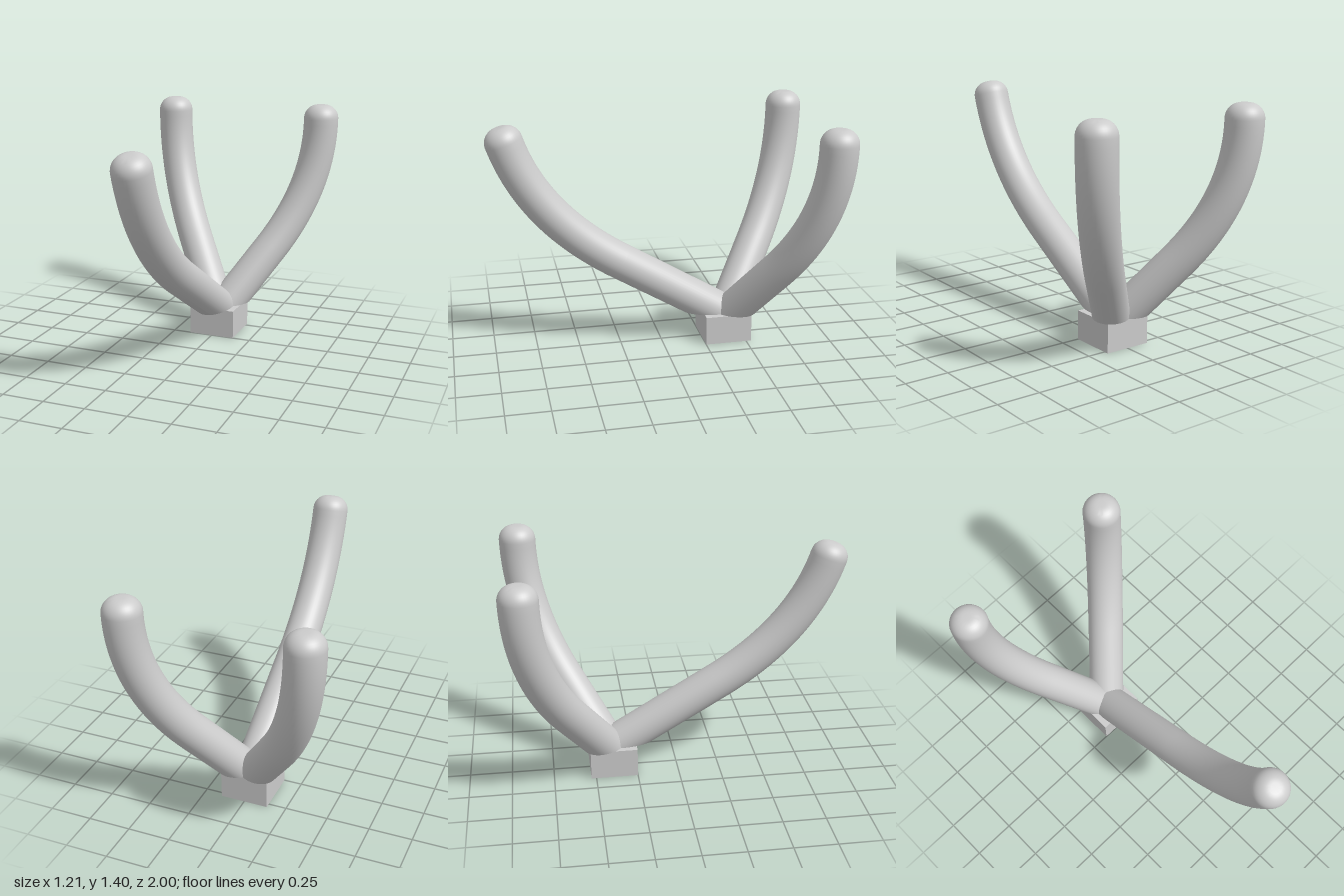
import * as THREE from 'three';
import { toCreasedNormals } from 'three/addons/utils/BufferGeometryUtils.js';

const RADIUS = 0.108, FILLET = 0.085, SIDES = 40;
const BASE_TOP = 0.175, HUB_Z = -0.39;

// Round arm in the local yz plane: straight run, bend, rounded tip.
// Points are [outward distance, height].
function armGeometry(start, bendStart, control, end) {
  const p = ([d, y]) => new THREE.Vector3(0, y, d);
  const bend = new THREE.QuadraticBezierCurve3(p(bendStart), p(control), p(end));
  const X = new THREE.Vector3(1, 0, 0);
  const rings = [];
  const first = p(bendStart).sub(p(start)).normalize();
  rings.push({ c: p(start), t: first, r: 0, cut: true });
  rings.push({ c: p(start), t: first, r: RADIUS, cut: true });
  for (let i = 0; i <= 24; i++) {
    rings.push({ c: bend.getPoint(i / 24), t: bend.getTangent(i / 24), r: RADIUS });
  }
  // rounded tip
  const tip = bend.getTangent(1);
  for (let i = 1; i <= 10; i++) {
    const a = (i / 10) * Math.PI / 2;
    rings.push({
      c: p(end).addScaledVector(tip, FILLET * Math.sin(a)), t: tip,
      r: RADIUS - FILLET + FILLET * Math.cos(a),
    });
  }
  rings.push({ c: p(end).addScaledVector(tip, FILLET), t: tip, r: 0 });

  const pos = [], index = [];
  rings.forEach(({ c, t, r, cut }, i) => {
    const B = new THREE.Vector3().crossVectors(t, X);
    for (let j = 0; j < SIDES; j++) {
      const a = (j / SIDES) * Math.PI * 2;
      const v = c.clone().addScaledVector(X, r * Math.cos(a)).addScaledVector(B, r * Math.sin(a));
      // slide along the arm to cut it flat on the base and at the hub
      if (cut) v.addScaledVector(t, Math.max(0, (BASE_TOP - v.y) / t.y, -v.z / t.z));
      pos.push(v.x, v.y, v.z);
      if (i === rings.length - 1) continue;
      const k = (j + 1) % SIDES, lo = i * SIDES, hi = lo + SIDES;
      if (r > 0) index.push(lo + j, lo + k, hi + k);
      if (rings[i + 1].r > 0) index.push(lo + j, hi + k, hi + j);
    }
  });
  const g = new THREE.BufferGeometry();
  g.setAttribute('position', new THREE.Float32BufferAttribute(pos, 3));
  g.setIndex(index);
  return toCreasedNormals(g, 0.6);
}

export function createModel() {
  const model = new THREE.Group();
  const material = new THREE.MeshStandardMaterial({ color: 0xcccccc });
  const add = (name, geometry, y, angle) => {
    const mesh = new THREE.Mesh(geometry, material);
    mesh.name = name;
    mesh.position.set(0, y, HUB_Z);
    mesh.rotation.y = angle;
    model.add(mesh);
  };

  // square foot
  add('base', new THREE.BoxGeometry(0.284, BASE_TOP, 0.28), BASE_TOP / 2, 0);

  // long front arm and two steeper back arms
  add('frontArm', armGeometry([0, 0.148], [0.64, 0.532], [1.138, 0.831], [1.283, 1.29]), 0, 0);
  const back = armGeometry([0, 0.107], [0.354, 0.49], [0.703, 0.867], [0.703, 1.31]);
  add('leftBackArm', back, 0, Math.PI * 0.75);
  add('rightBackArm', back, 0, -Math.PI * 0.75);
  return model;
}
